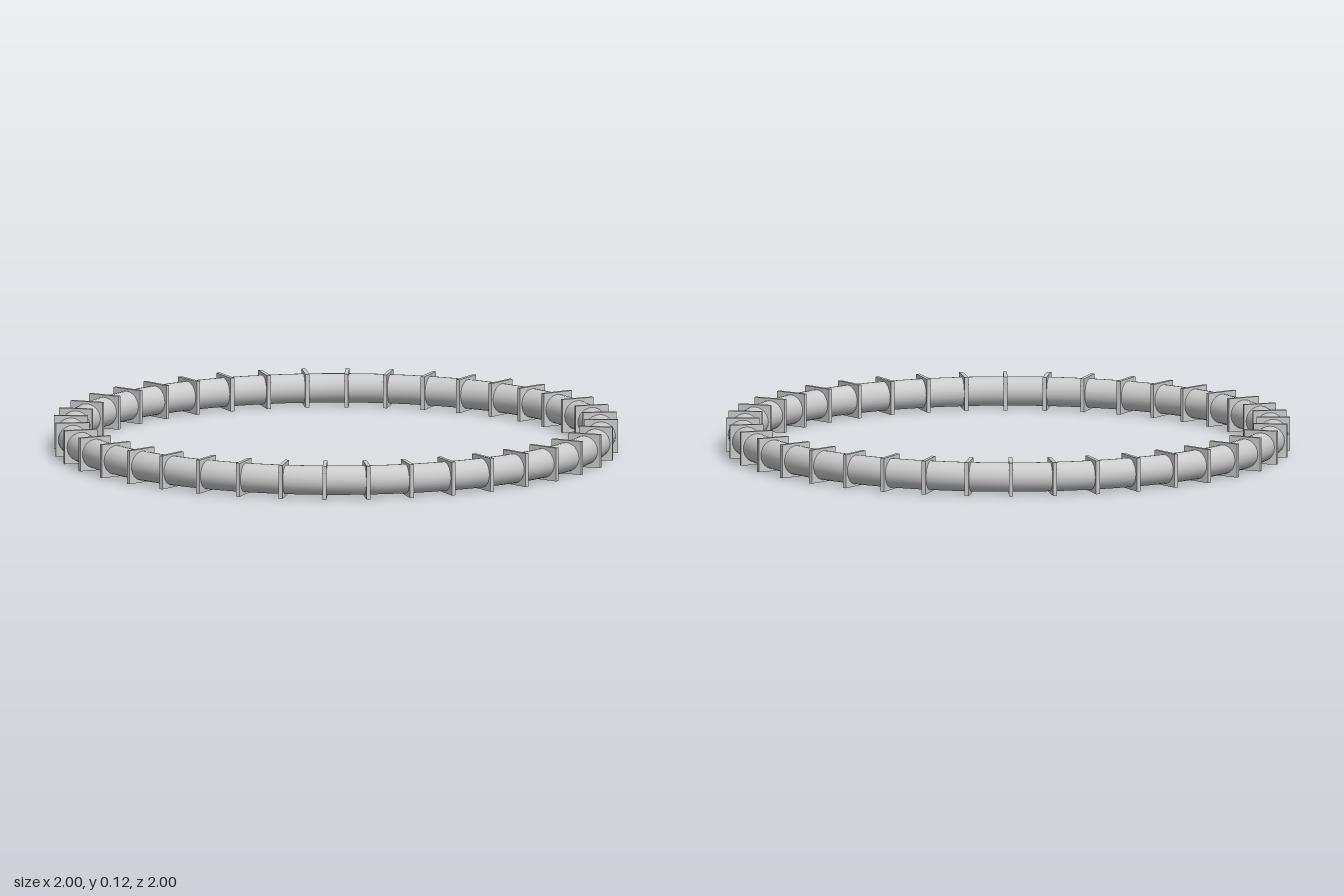
import * as THREE from 'three';

const RING_RADIUS = 0.94;
const TUBE_RADIUS = 0.052;
const PLATE_SIZE = 0.12;
const PLATE_THICKNESS = 0.014;
const PLATE_COUNT = 40;

export function createModel() {
  const model = new THREE.Group();
  model.name = 'ribbedRing';
  const material = new THREE.MeshStandardMaterial({ color: 0xcccccc });

  // Round tube lying flat
  const tubeGeometry = new THREE.TorusGeometry(RING_RADIUS, TUBE_RADIUS, 24, 80);
  tubeGeometry.rotateX(-Math.PI / 2);
  const tube = new THREE.Mesh(tubeGeometry, material);
  tube.name = 'tube';
  tube.position.y = PLATE_SIZE / 2;
  model.add(tube);

  // Thin square plates threaded on the tube at even steps
  const plates = new THREE.Group();
  plates.name = 'plates';
  const plateGeometry = new THREE.BoxGeometry(PLATE_SIZE, PLATE_SIZE, PLATE_THICKNESS);
  plateGeometry.translate(RING_RADIUS, PLATE_SIZE / 2, 0);
  for (let i = 0; i < PLATE_COUNT; i++) {
    const plate = new THREE.Mesh(plateGeometry, material);
    plate.name = `plate${i + 1}`;
    plate.rotation.y = (i / PLATE_COUNT) * Math.PI * 2;
    plates.add(plate);
  }
  model.add(plates);

  return model;
}
